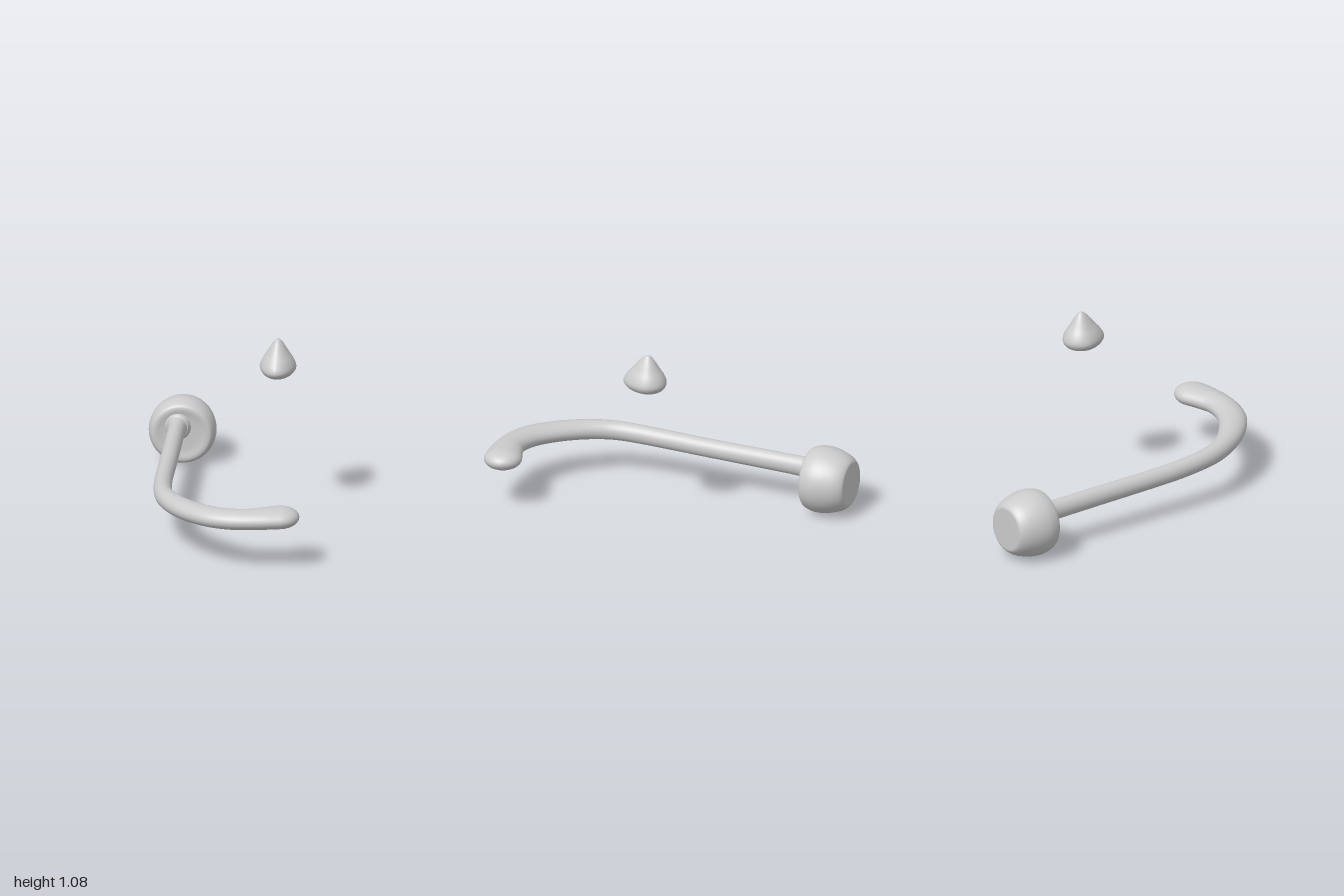
import * as THREE from 'three';

const material = new THREE.MeshStandardMaterial({ color: 0xcccccc, roughness: 0.7 });
const v2 = (p) => new THREE.Vector2(p[0], p[1]);

function addMesh(group, name, geometry) {
  const mesh = new THREE.Mesh(geometry, material);
  mesh.name = name;
  group.add(mesh);
  return mesh;
}

// Smooth lathe from a few profile points, bottom to top
function smoothLathe(profile, segments) {
  const pts = new THREE.SplineCurve(profile.map(v2)).getPoints(60);
  pts.forEach((p) => { p.x = Math.max(0, p.x); });
  pts[0].x = pts[pts.length - 1].x = 0;
  return new THREE.LatheGeometry(pts, segments);
}

// Sweeps an elliptical section along a path; stations are [x, y, z, halfWidth, halfHeight]
function sweepBar(stations, steps, sides) {
  const path = new THREE.CatmullRomCurve3(
    stations.map((s) => new THREE.Vector3(s[0], s[1], s[2])), false, 'catmullrom');
  const size = new THREE.SplineCurve(stations.map((s) => new THREE.Vector2(s[3], s[4])));
  const rings = [];
  for (let i = 0; i <= steps; i++) {
    const t = i / steps;
    const w = size.getPoint(t);
    rings.push({ c: path.getPoint(t), dir: path.getTangent(t), w: w.x, h: w.y });
  }
  // rounded tip
  const end = rings[steps];
  for (let k = 1; k <= 10; k++) {
    const a = (k / 10) * Math.PI / 2;
    const f = Math.max(Math.cos(a), 0.001);
    rings.push({
      c: end.c.clone().addScaledVector(end.dir, end.w * Math.sin(a)),
      dir: end.dir, w: end.w * f, h: end.h * f,
    });
  }
  const positions = [];
  const index = [];
  const worldUp = new THREE.Vector3(0, 1, 0);
  rings.forEach((r, i) => {
    const side = new THREE.Vector3().crossVectors(r.dir, worldUp).normalize();
    const up = new THREE.Vector3().crossVectors(side, r.dir).normalize();
    for (let j = 0; j < sides; j++) {
      const a = (j / sides) * Math.PI * 2;
      const p = r.c.clone()
        .addScaledVector(side, r.w * Math.cos(a))
        .addScaledVector(up, r.h * Math.sin(a));
      positions.push(p.x, p.y, p.z);
      if (i < rings.length - 1) {
        const n = (j + 1) % sides;
        const a0 = i * sides + j, b0 = i * sides + n;
        index.push(a0, a0 + sides, b0, b0, a0 + sides, b0 + sides);
      }
    }
  });
  const geometry = new THREE.BufferGeometry();
  geometry.setAttribute('position', new THREE.Float32BufferAttribute(positions, 3));
  geometry.setIndex(index);
  geometry.computeVertexNormals();
  return geometry;
}

export function createModel() {
  const group = new THREE.Group();
  group.name = 'hookAndCone';

  // Rounded knob at the back, turned about the z axis
  const knob = smoothLathe([
    [0, -1], [0.1, -1], [0.135, -0.995], [0.165, -0.955], [0.187, -0.89], [0.195, -0.83],
    [0.19, -0.785], [0.175, -0.747], [0.15, -0.736], [0.1, -0.743], [0, -0.745],
  ], 48);
  knob.rotateX(Math.PI / 2);
  addMesh(group, 'knob', knob).position.set(-0.316, 0.197, 0);

  // Straight shaft with a flared root, bending into a thicker hook
  const bar = sweepBar([
    [-0.337, 0.242, -0.77, 0.09, 0.095],
    [-0.337, 0.242, -0.73, 0.068, 0.075],
    [-0.338, 0.243, -0.68, 0.052, 0.06],
    [-0.338, 0.248, -0.4, 0.051, 0.057],
    [-0.338, 0.252, -0.1, 0.051, 0.055],
    [-0.337, 0.26, 0.2, 0.052, 0.055],
    [-0.315, 0.272, 0.435, 0.054, 0.056],
    [-0.26, 0.28, 0.585, 0.062, 0.057],
    [-0.155, 0.288, 0.73, 0.075, 0.057],
    [-0.02, 0.297, 0.845, 0.083, 0.057],
    [0.1, 0.303, 0.896, 0.084, 0.057],
    [0.21, 0.308, 0.908, 0.086, 0.057],
    [0.31, 0.312, 0.893, 0.1, 0.059],
    [0.395, 0.314, 0.872, 0.11, 0.06],
  ], 120, 28);
  addMesh(group, 'hookedBar', bar);

  // Floating cone with a soft flat base, stretched towards the front
  const cone = smoothLathe([
    [0, 0.868], [0.06, 0.868], [0.085, 0.875], [0.103, 0.9], [0.104, 0.925],
    [0.09, 0.96], [0.065, 1.0], [0.038, 1.045], [0.016, 1.075], [0, 1.085],
  ], 40);
  const pos = cone.attributes.position;
  for (let i = 0; i < pos.count; i++) {
    const z = pos.getZ(i);
    if (z > 0) {
      pos.setZ(i, z * 1.43);
      pos.setX(i, pos.getX(i) * (1 - 0.12 * z / 0.105));
    }
  }
  cone.computeVertexNormals();
  addMesh(group, 'floatingCone', cone).position.set(0.306, 0, 0);

  return group;
}
